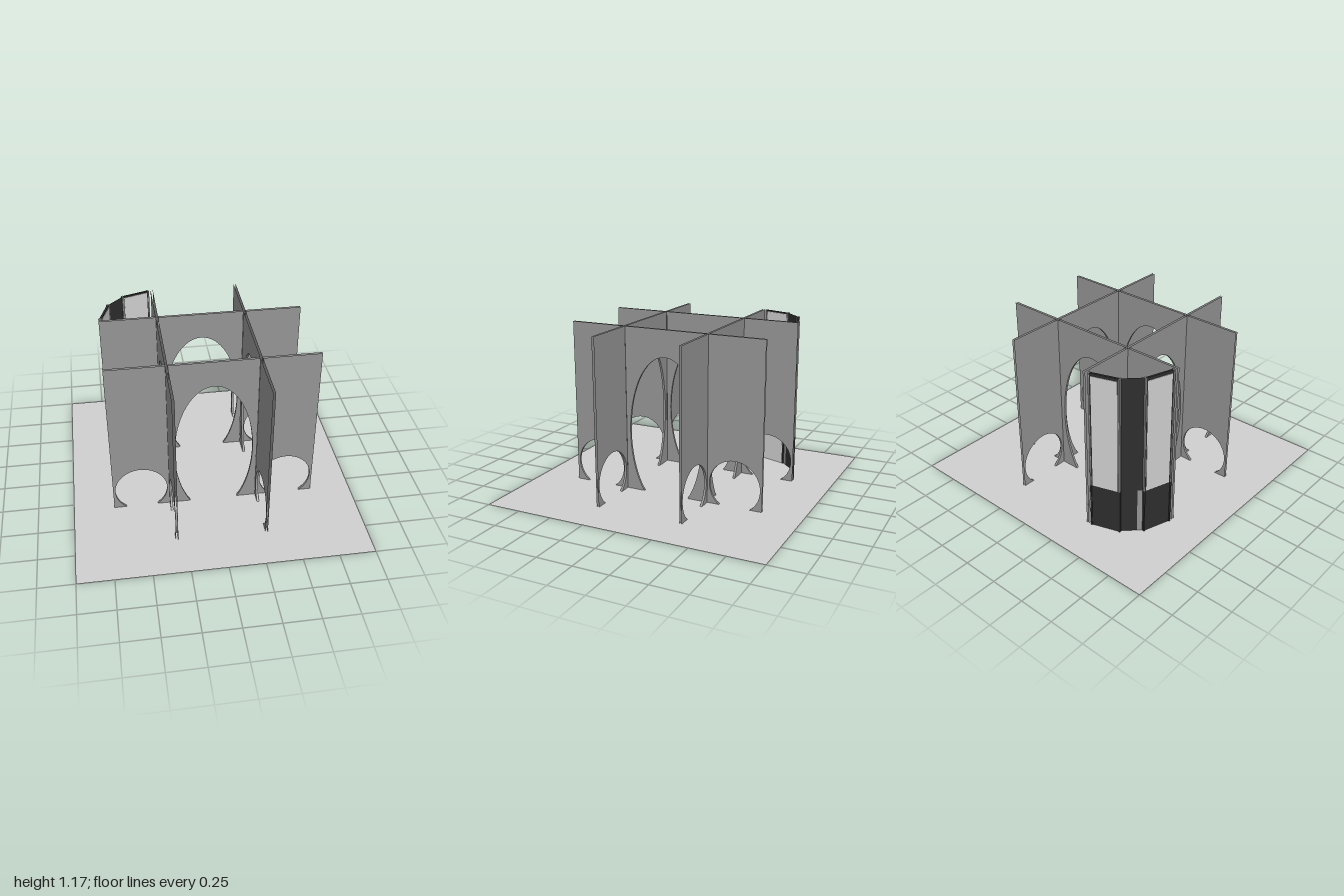
import * as THREE from 'three';

const mat = (name, color) => {
  const m = new THREE.MeshStandardMaterial({ color, side: THREE.DoubleSide });
  m.name = name;
  return m;
};

export function createModel() {
  const pale = mat('pale grey', 0xd0d0d0);
  const grey = mat('wall grey', 0x949494);
  const dark = mat('dark grey', 0x2e2e2e);
  const H = 1.17, T = 0.008, LINE = 0.31;

  const model = new THREE.Group();
  model.name = 'archedPavilion';

  const add = (parent, name, geometry, material, x = 0, y = 0, z = 0) => {
    const mesh = new THREE.Mesh(geometry, material);
    mesh.name = name;
    mesh.position.set(x, y, z);
    parent.add(mesh);
    return mesh;
  };

  // Flat ground sheet
  add(model, 'ground', new THREE.PlaneGeometry(2, 2).rotateX(-Math.PI / 2), pale);

  // Hollow wall panel: two skins joined only by the lining of the arch
  function archPanel(name, half, rx, ry, cy) {
    const group = new THREE.Group();
    group.name = name;
    const a = Math.acos(cy / ry);
    const shape = new THREE.Shape();
    shape.moveTo(-half, 0);
    shape.lineTo(-rx * Math.sin(a), 0);
    shape.absellipse(0, cy, rx, ry, -Math.PI / 2 - a, -Math.PI / 2 + a, true);
    shape.lineTo(half, 0);
    shape.lineTo(half, H);
    shape.lineTo(-half, H);
    const skin = new THREE.ShapeGeometry(shape, 32);
    add(group, 'frontSkin', skin, grey, 0, 0, T);
    add(group, 'backSkin', skin.clone().rotateY(Math.PI), grey, 0, 0, -T);
    const lining = new THREE.CylinderGeometry(1, 1, 2 * T, 64, 1, true, a, 2 * Math.PI - 2 * a)
      .rotateX(Math.PI / 2).scale(rx, ry, 1).translate(0, cy, 0);
    add(group, 'archLining', lining, grey);
    return group;
  }

  // Four wall lines crossing in a grid, each with a tall arch and two low round ones
  for (const turn of [0, Math.PI / 2]) {
    for (const side of [-1, 1]) {
      const wall = new THREE.Group();
      wall.name = 'wallLine';
      const middle = archPanel('tallArchPanel', 0.301, 0.272, 0.55, 0.43);
      middle.position.z = side * LINE;
      wall.add(middle);
      for (const end of [-1, 1]) {
        const wing = archPanel('roundArchPanel', 0.199, 0.183, 0.183, 0.145);
        wing.position.set(end * 0.516, 0, side * LINE);
        wall.add(wing);
      }
      wall.rotation.y = turn;
      model.add(wall);
    }
  }

  // Corner booth: two framed panels and a dark diagonal between them
  const booth = new THREE.Group();
  booth.name = 'cornerBooth';
  model.add(booth);
  const BASE = 0.33, L = 0.2;
  const box = (w, h, d) => new THREE.BoxGeometry(w, h, d);

  function boothPanel(x, z, angle) {
    const g = new THREE.Group();
    g.name = 'boothPanel';
    add(g, 'core', box(L, H, 0.014), dark, 0, H / 2, 0);
    add(g, 'innerFace', box(L - 0.02, H - 0.01, 0.004), pale, 0, H / 2 - 0.005, 0.008);
    add(g, 'outerFace', box(L - 0.024, H - BASE - 0.02, 0.004), pale, 0, (H + BASE - 0.02) / 2, -0.008);
    for (const s of [-1, 1]) {
      add(g, 'edgeStrip', box(0.01, H - BASE, 0.026), grey, s * L / 2, (H + BASE) / 2, 0);
      add(g, 'edgeFoot', box(0.01, BASE, 0.026), dark, s * L / 2, BASE / 2, 0);
    }
    g.position.set(x, 0, z);
    g.rotation.y = angle;
    booth.add(g);
  }
  const tilt = 0.32;
  boothPanel(-0.435, -0.67, tilt);
  boothPanel(-0.67, -0.435, Math.PI / 2 - tilt);

  // Diagonal sheet with a grey strip at its foot
  const diagonal = new THREE.Group();
  diagonal.name = 'diagonalPanel';
  diagonal.position.set(-0.583, 0, -0.583);
  diagonal.rotation.y = Math.PI / 4;
  booth.add(diagonal);
  const W = 0.152, S = 0.04;
  add(diagonal, 'upperSheet', new THREE.PlaneGeometry(W, H - BASE), dark, 0, (H + BASE) / 2, 0);
  add(diagonal, 'lowerSheet', new THREE.PlaneGeometry(W - S, BASE), dark, S / 2, BASE / 2, 0);
  add(diagonal, 'footStrip', new THREE.PlaneGeometry(S, BASE), grey, (S - W) / 2, BASE / 2, 0);

  return model;
}
